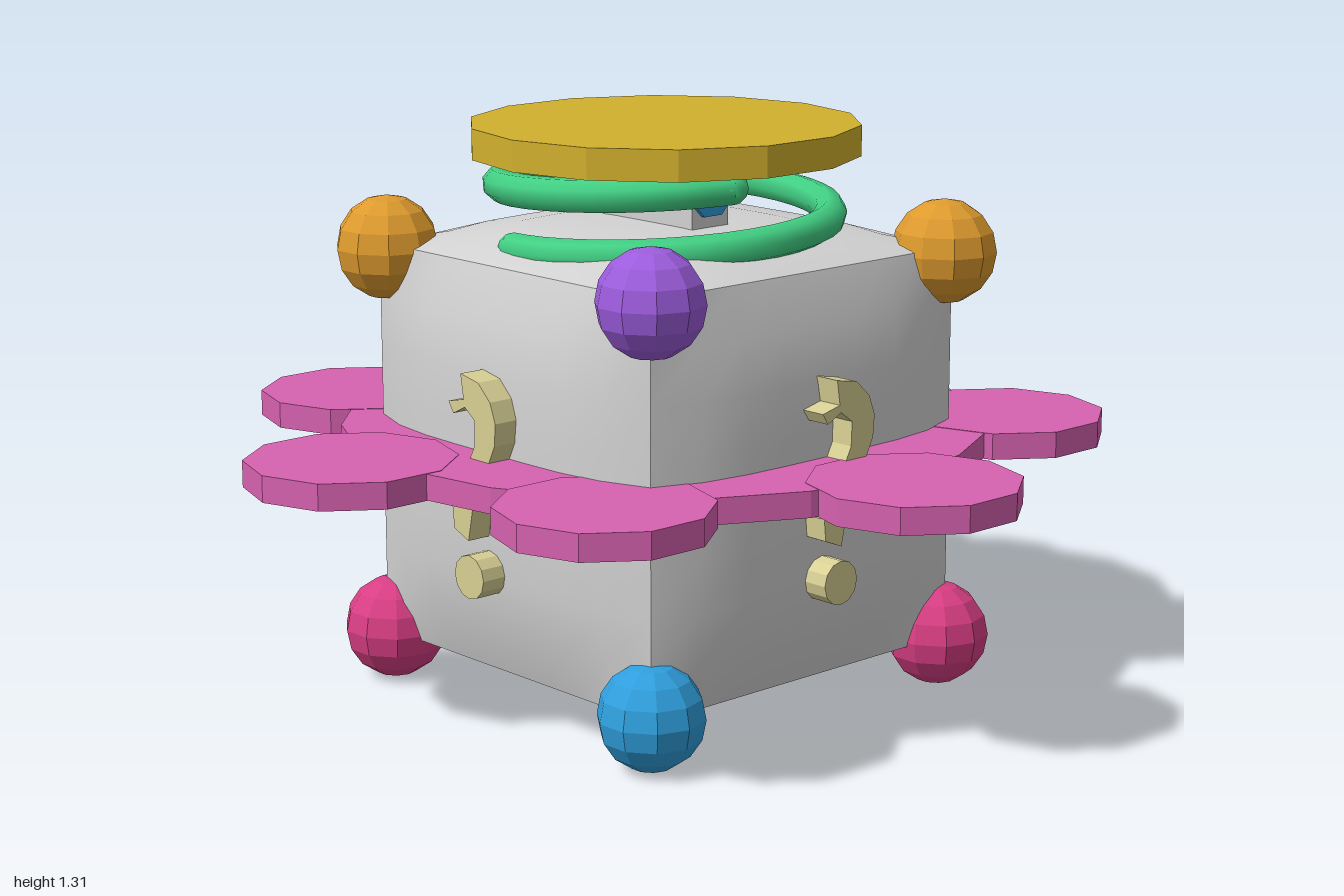
import * as THREE from 'three';

const CX = -0.0425, CY = 0.57;

const paint = (name, color, options = {}) => {
  const m = new THREE.MeshStandardMaterial({ color, ...options });
  m.name = name;
  return m;
};

export function createModel() {
  const root = new THREE.Group();
  root.name = 'puzzleCube';

  const grey = paint('light grey', 0xd2d2d2);
  const magenta = paint('magenta', 0xd662b0, { flatShading: true });
  const red = paint('red', 0xe04452);
  const gold = paint('gold', 0xd2b02e, { flatShading: true });
  const orange = paint('orange', 0xde9a2e, { flatShading: true });
  const green = paint('green', 0x42d084);
  const blue = paint('blue', 0x2f9edc, { flatShading: true });
  const purple = paint('purple', 0x9c5cdc, { flatShading: true });
  const pink = paint('pink', 0xd83e84, { flatShading: true });
  const khaki = paint('khaki', 0xd8d094, { flatShading: true });

  const add = (name, geometry, material, x = 0, y = 0, z = 0, parent = root) => {
    const mesh = new THREE.Mesh(geometry, material);
    mesh.name = name;
    mesh.position.set(x, y, z);
    parent.add(mesh);
    return mesh;
  };

  // Body: cube whose faces bulge outwards like cushions, with sharp edges
  const half = 0.46;
  const body = new THREE.BoxGeometry(2 * half, 2 * half, 2 * half, 8, 8, 8);
  const pos = body.attributes.position, nor = body.attributes.normal;
  const falloff = (t) => 1 - Math.pow(Math.abs(t) / half, 4);
  for (let i = 0; i < pos.count; i++) {
    const p = new THREE.Vector3().fromBufferAttribute(pos, i);
    const n = new THREE.Vector3().fromBufferAttribute(nor, i);
    let bulge = 0.06;
    for (const axis of ['x', 'y', 'z']) {
      if (Math.abs(n[axis]) < 0.5) bulge *= falloff(p[axis]);
    }
    p.addScaledVector(n, bulge);
    pos.setXYZ(i, p.x, p.y, p.z);
  }
  body.computeVertexNormals();
  add('body', body, grey, CX, CY, 0);

  // Corner balls: [x side, y side, z side, colour]
  const ball = new THREE.SphereGeometry(0.12, 10, 8);
  const corners = [
    [-1, 1, 1, orange], [1, 1, 1, purple], [-1, 1, -1, green], [1, 1, -1, orange],
    [-1, -1, 1, pink], [1, -1, 1, blue], [-1, -1, -1, gold], [1, -1, -1, pink],
  ];
  for (const [sx, sy, sz, m] of corners) {
    let material = m;
    if (m === green) {
      material = green;
    }
    add('cornerBall', ball, material, CX + sx * 0.447, CY + sy * 0.45, sz * 0.447);
  }

  // Flower plate: disc and seven petals around the waist
  const flower = new THREE.Group();
  flower.name = 'flowerPlate';
  flower.position.set(CX, 0.6, 0);
  root.add(flower);
  add('flowerDisc', new THREE.CylinderGeometry(0.74, 0.74, 0.058, 20), magenta, 0, 0, 0, flower);
  const petal = new THREE.CylinderGeometry(0.235, 0.235, 0.06, 10);
  for (let i = 0; i < 7; i++) {
    const a = (i / 7) * Math.PI * 2;
    add('petal', petal, magenta, 0.785 * Math.cos(a), 0, 0.785 * Math.sin(a), flower);
  }

  // Question marks on the four sides: hook and dot
  const hook = new THREE.Shape([
    [-0.025, 0.243], [0.035, 0.232], [0.075, 0.195], [0.092, 0.15], [0.088, 0.1], [0.052, 0.025],
    [0.01, -0.055], [-0.006, -0.13], [-0.055, -0.11], [-0.06, -0.06], [-0.015, 0.02],
    [0.02, 0.09], [0.022, 0.145], [-0.012, 0.17], [-0.052, 0.15], [-0.068, 0.175], [-0.016, 0.187],
  ].map(([x, y]) => new THREE.Vector2(x, y)));
  const hookGeo = new THREE.ExtrudeGeometry(hook, { depth: 0.12, bevelEnabled: false });
  const dotGeo = new THREE.CylinderGeometry(0.05, 0.05, 0.12, 12).rotateX(Math.PI / 2);
  for (let i = 0; i < 4; i++) {
    const mark = new THREE.Group();
    mark.name = 'questionMark';
    mark.position.set(CX, CY, 0);
    mark.rotation.y = i * Math.PI / 2;
    root.add(mark);
    add('hook', hookGeo, khaki, 0, 0, 0.457, mark);
    add('dot', dotGeo, khaki, -0.006, -0.213, 0.517, mark);
  }

  // Spring under the lid: one and a quarter rising turns
  const turn = [];
  for (let i = 0; i <= 30; i++) {
    const t = i / 30;
    const a = THREE.MathUtils.degToRad(465 - 445 * t);
    turn.push(new THREE.Vector3(0.375 * Math.cos(a), 1.05 + 0.165 * t, 0.375 * Math.sin(a)));
  }
  const spring = new THREE.CatmullRomCurve3(turn);
  add('spring', new THREE.TubeGeometry(spring, 48, 0.038, 8), green, CX, 0, 0);
  const springEnd = new THREE.SphereGeometry(0.038, 8, 6);
  for (const p of [turn[0], turn[30]]) add('springEnd', springEnd, green, CX + p.x, p.y, p.z);

  // Lid and the latch below it
  add('lid', new THREE.CylinderGeometry(0.445, 0.445, 0.07, 14), gold, CX, 1.277, 0);
  add('latchBase', new THREE.BoxGeometry(0.3, 0.08, 0.11), grey, CX, 1.1, 0);
  const bar = new THREE.CylinderGeometry(0.068, 0.068, 0.31, 8, 1, false, Math.PI / 8).rotateZ(Math.PI / 2);
  add('latchBar', bar, blue, CX + 0.005, 1.178, 0);

  // Red nose pointing backwards, with an eye on top
  const nose = new THREE.LatheGeometry([
    [0.16, 0.44], [0.17, 0.54], [0.168, 0.64], [0.135, 0.75], [0.075, 0.85], [0, 0.93],
  ].map(([r, z]) => new THREE.Vector2(r, z)), 12).rotateX(-Math.PI / 2);
  add('nose', nose, red, -0.04, 0.565, 0);
  add('eyeball', new THREE.SphereGeometry(0.08, 14, 10), grey, -0.04, 0.745, -0.64);
  add('pupil', new THREE.SphereGeometry(0.04, 8, 6), purple, -0.04, 0.775, -0.69);

  return root;
}
